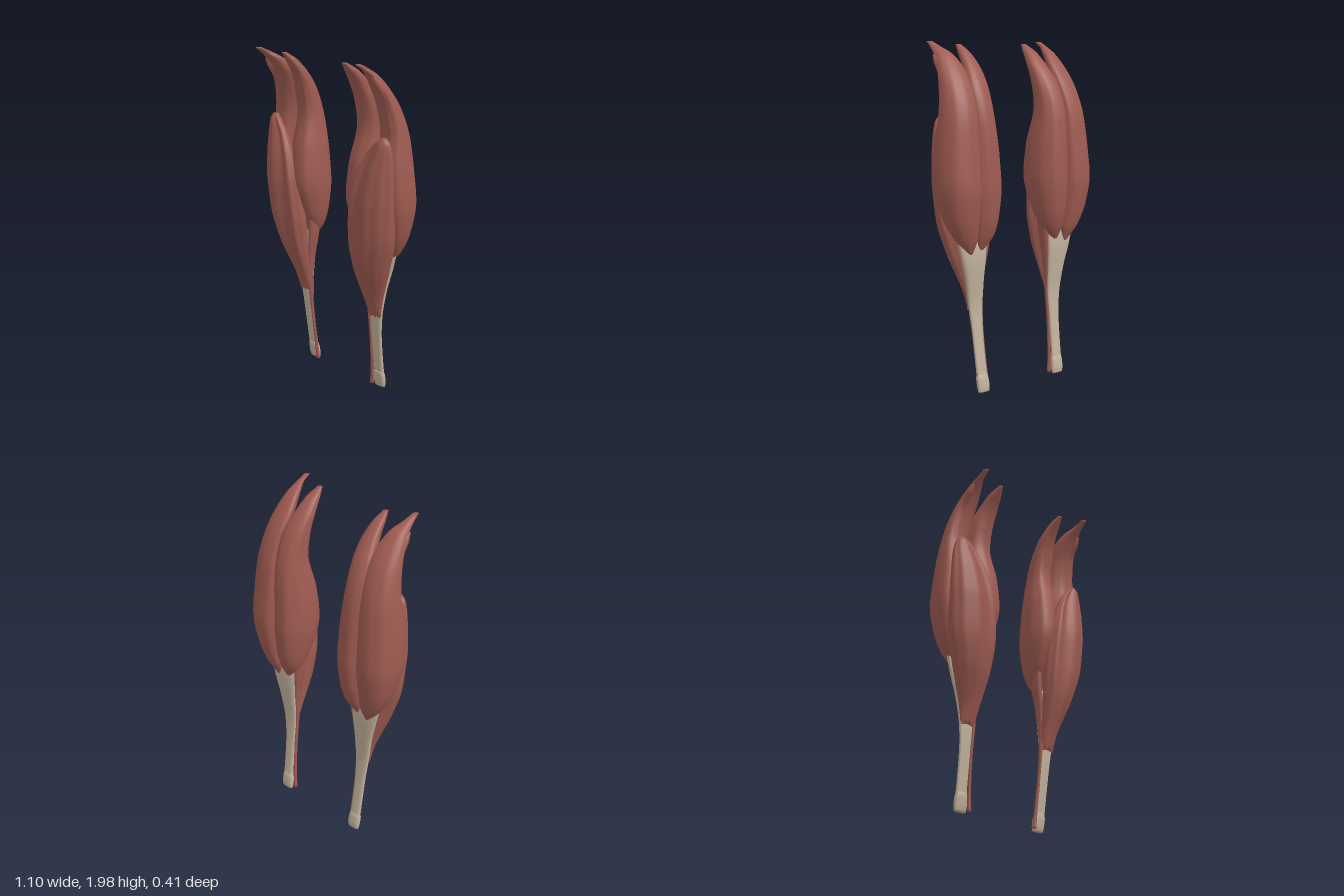
import * as THREE from 'three';

const muscle = new THREE.MeshStandardMaterial({ color: 0x9e5b51 });
muscle.name = 'muscle red';
const sinew = new THREE.MeshStandardMaterial({ color: 0xc2b29d });
sinew.name = 'tendon cream';

// Smooth loft through sections [y, centre x, centre z, radius x, radius z].
// ridge/folds: fibre grooves; lean: sideways slant from back to front;
// hollow: depth of a lengthwise dip down the front; teeth: jagged lower edge
function loft(name, material, side, sections, options = {}) {
  const { ridge = 0, folds = 9, power = 0.9, lean = 0, hollow = 0, teeth = 0, rows = 56, cols = 48 } = options;
  const centre = new THREE.CatmullRomCurve3(sections.map(s => new THREE.Vector3(s[1], s[0], s[2])));
  const radius = new THREE.CatmullRomCurve3(sections.map(s => new THREE.Vector3(s[3], 0, s[4])));
  const pos = [], idx = [];
  const soft = v => Math.sign(v) * Math.pow(Math.abs(v), power);
  for (let j = 0; j <= rows; j++) {
    const t = j / rows, c = centre.getPoint(t), r = radius.getPoint(t), mid = Math.sin(Math.PI * t);
    for (let i = 0; i < cols; i++) {
      const a = (i / cols) * Math.PI * 2;
      const k = 1 + ridge * mid * (Math.sin(folds * a + 3 * t) + 0.6 * Math.sin((folds - 4) * a - 4 * t));
      const dip = hollow * mid * Math.exp(-(((a - 1.75) / 0.35) ** 2));
      const tooth = j === 0 ? teeth * Math.cos(8 * a) : 0;
      pos.push(side * (c.x + Math.max(r.x, 0.003) * k * soft(Math.cos(a)) - lean * mid * Math.sin(a)),
        c.y + tooth, c.z + Math.max(r.z, 0.003) * k * soft(Math.sin(a)) - dip);
    }
  }
  const tri = (a, b, c) => (side > 0 ? idx.push(a, b, c) : idx.push(a, c, b));
  for (let j = 0; j < rows; j++) {
    for (let i = 0; i < cols; i++) {
      const n = (i + 1) % cols, p = j * cols + i, q = j * cols + n;
      tri(p, p + cols, q);
      tri(q, p + cols, q + cols);
    }
  }
  // End caps
  for (const [j, end] of [[0, 0], [rows, 1]]) {
    const c = centre.getPoint(end), m = pos.length / 3;
    pos.push(side * c.x, c.y, c.z);
    for (let i = 0; i < cols; i++) {
      const p = j * cols + i, q = j * cols + (i + 1) % cols;
      end ? tri(m, q, p) : tri(m, p, q);
    }
  }
  const g = new THREE.BufferGeometry();
  g.setAttribute('position', new THREE.Float32BufferAttribute(pos, 3));
  g.setIndex(idx);
  g.computeVertexNormals();
  const mesh = new THREE.Mesh(g, material);
  mesh.name = name;
  return mesh;
}

function calf(side) {
  const group = new THREE.Group();
  group.name = side > 0 ? 'leftCalf' : 'rightCalf';
  const add = (name, material, sections, options) => group.add(loft(name, material, side, sections, options));

  // Rear belly on the inner side, wrapping forward and hooking over at the top
  add('innerBelly', muscle, [
    [0.82, 0.290, -0.100, 0.014, 0.010],
    [0.90, 0.266, -0.102, 0.058, 0.052],
    [1.00, 0.256, -0.088, 0.082, 0.096],
    [1.20, 0.249, -0.064, 0.102, 0.133],
    [1.40, 0.255, -0.066, 0.095, 0.120],
    [1.60, 0.264, -0.075, 0.076, 0.083],
    [1.75, 0.262, -0.036, 0.070, 0.064],
    [1.85, 0.252, 0.018, 0.055, 0.047],
    [1.93, 0.251, 0.083, 0.036, 0.034],
    [1.975, 0.250, 0.135, 0.014, 0.014],
  ], { ridge: 0.012, lean: 0.014, power: 0.85 });

  // Rear belly on the outer side, with the longer hooked tip
  add('outerBelly', muscle, [
    [0.81, 0.365, -0.105, 0.014, 0.010],
    [0.89, 0.392, -0.106, 0.060, 0.048],
    [1.00, 0.421, -0.100, 0.088, 0.084],
    [1.20, 0.439, -0.092, 0.108, 0.116],
    [1.40, 0.434, -0.080, 0.104, 0.110],
    [1.60, 0.424, -0.077, 0.087, 0.083],
    [1.75, 0.410, -0.036, 0.077, 0.064],
    [1.85, 0.401, 0.020, 0.064, 0.050],
    [1.92, 0.402, 0.078, 0.043, 0.040],
    [1.96, 0.411, 0.135, 0.022, 0.028],
    [1.99, 0.413, 0.188, 0.015, 0.018],
  ], { ridge: 0.012, lean: -0.028, power: 0.85 });

  // Slim strand in front of the outer belly
  add('outerStrand', muscle, [
    [1.46, 0.470, -0.012, 0.024, 0.025],
    [1.62, 0.466, -0.022, 0.030, 0.030],
    [1.78, 0.450, 0.006, 0.026, 0.032],
    [1.87, 0.443, 0.068, 0.022, 0.028],
    [1.915, 0.443, 0.102, 0.011, 0.013],
  ], { cols: 20, rows: 28 });

  // Broad front muscle narrowing down to the tendon
  add('frontMuscle', muscle, [
    [0.49, 0.306, -0.064, 0.046, 0.019],
    [0.60, 0.311, -0.044, 0.062, 0.042],
    [0.80, 0.336, 0.000, 0.108, 0.082],
    [1.00, 0.360, 0.026, 0.140, 0.094],
    [1.20, 0.378, 0.043, 0.137, 0.088],
    [1.37, 0.402, 0.045, 0.112, 0.067],
    [1.48, 0.428, 0.041, 0.080, 0.046],
    [1.55, 0.448, 0.038, 0.046, 0.032],
    [1.58, 0.455, 0.034, 0.018, 0.015],
  ], { ridge: 0.02, folds: 11, hollow: 0.025, lean: 0.034, teeth: 0.012, power: 1.04, cols: 72 });

  // Flat tendon, fanning out under the rear bellies
  add('tendon', sinew, [
    [0.05, 0.293, -0.125, 0.036, 0.016],
    [0.20, 0.297, -0.105, 0.035, 0.014],
    [0.35, 0.300, -0.087, 0.037, 0.014],
    [0.50, 0.305, -0.076, 0.048, 0.016],
    [0.65, 0.315, -0.082, 0.062, 0.023],
    [0.80, 0.330, -0.091, 0.088, 0.025],
    [0.92, 0.342, -0.090, 0.106, 0.018],
    [0.97, 0.343, -0.088, 0.100, 0.010],
  ], { power: 0.75 });

  // Thickened lower end of the tendon
  add('tendonEnd', sinew, [
    [0.008, 0.290, -0.131, 0.038, 0.013],
    [0.04, 0.291, -0.127, 0.041, 0.019],
    [0.08, 0.293, -0.121, 0.040, 0.020],
    [0.11, 0.294, -0.116, 0.034, 0.016],
  ], { power: 0.7, rows: 14 });

  // Red strand along the inner edge of the tendon, widening up into the belly
  add('innerStrand', muscle, [
    [0.015, 0.243, -0.108, 0.012, 0.011],
    [0.10, 0.250, -0.103, 0.010, 0.010],
    [0.30, 0.259, -0.084, 0.008, 0.010],
    [0.50, 0.260, -0.066, 0.010, 0.013],
    [0.70, 0.251, -0.064, 0.014, 0.026],
    [0.85, 0.232, -0.066, 0.020, 0.038],
    [1.02, 0.218, -0.062, 0.022, 0.045],
  ], { cols: 16, rows: 32 });
  return group;
}

export function createModel() {
  const model = new THREE.Group();
  model.name = 'calfMuscles';
  for (const side of [1, -1]) model.add(calf(side));
  return model;
}
